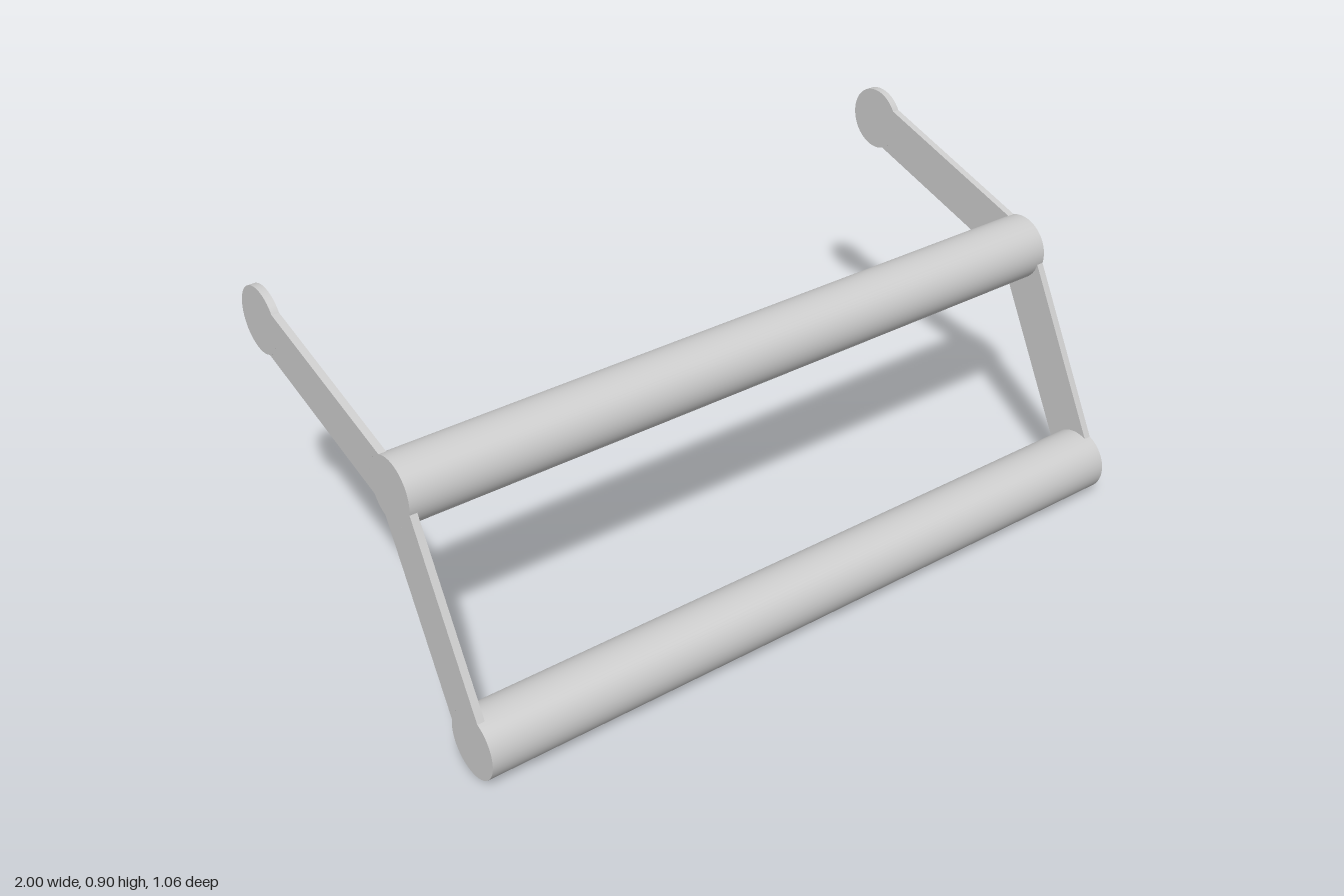
import * as THREE from 'three';

const R = 0.088;      // radius of tubes and end discs
const HALF = 0.066;   // half width of the arms
const PLATE = 0.02;   // plate thickness
// Joint positions in the side plane: [z, y]
const FOOT = [0.442, 0.088], KNEE = [0.152, 0.637], TIP = [-0.442, 0.815];

export function createModel() {
  const group = new THREE.Group();
  const material = new THREE.MeshStandardMaterial({ color: 0xcccccc });

  const add = (name, geometry, x, z = 0, y = 0) => {
    const mesh = new THREE.Mesh(geometry, material);
    mesh.name = name;
    mesh.position.set(x, y, z);
    group.add(mesh);
  };

  // Round bar or disc lying along x
  const rod = (length) => new THREE.CylinderGeometry(R, R, length, 64).rotateZ(Math.PI / 2);

  // Flat arm between two joints, its ends hollowed to fit the round joints
  const arm = ([z0, y0], [z1, y1]) => {
    const length = Math.hypot(z1 - z0, y1 - y0);
    const phi = Math.asin(HALF / R);
    const inset = R * Math.cos(phi);
    const shape = new THREE.Shape();
    shape.moveTo(inset, -HALF);
    shape.lineTo(length - inset, -HALF);
    shape.absarc(length, 0, R, Math.PI + phi, Math.PI - phi, true);
    shape.lineTo(inset, HALF);
    shape.absarc(0, 0, R, phi, -phi, true);
    return new THREE.ExtrudeGeometry(shape, { depth: PLATE, bevelEnabled: false, curveSegments: 16 })
      .translate(0, 0, -PLATE / 2)
      .rotateZ(Math.atan2(y1 - y0, z1 - z0))
      .translate(z0, y0, 0)
      .rotateY(-Math.PI / 2);
  };

  // Full-width bars
  add('lowerBar', rod(2), 0, ...FOOT);
  add('upperBar', rod(2), 0, ...KNEE);

  // Side plates, mirrored left and right
  for (const [side, s] of [['left', 1], ['right', -1]]) {
    const x = s * (1 - PLATE / 2);
    add(side + 'LowerArm', arm(FOOT, KNEE), x);
    add(side + 'UpperArm', arm(KNEE, TIP), x);
    add(side + 'EndDisc', rod(PLATE), x, ...TIP);
  }
  return group;
}
